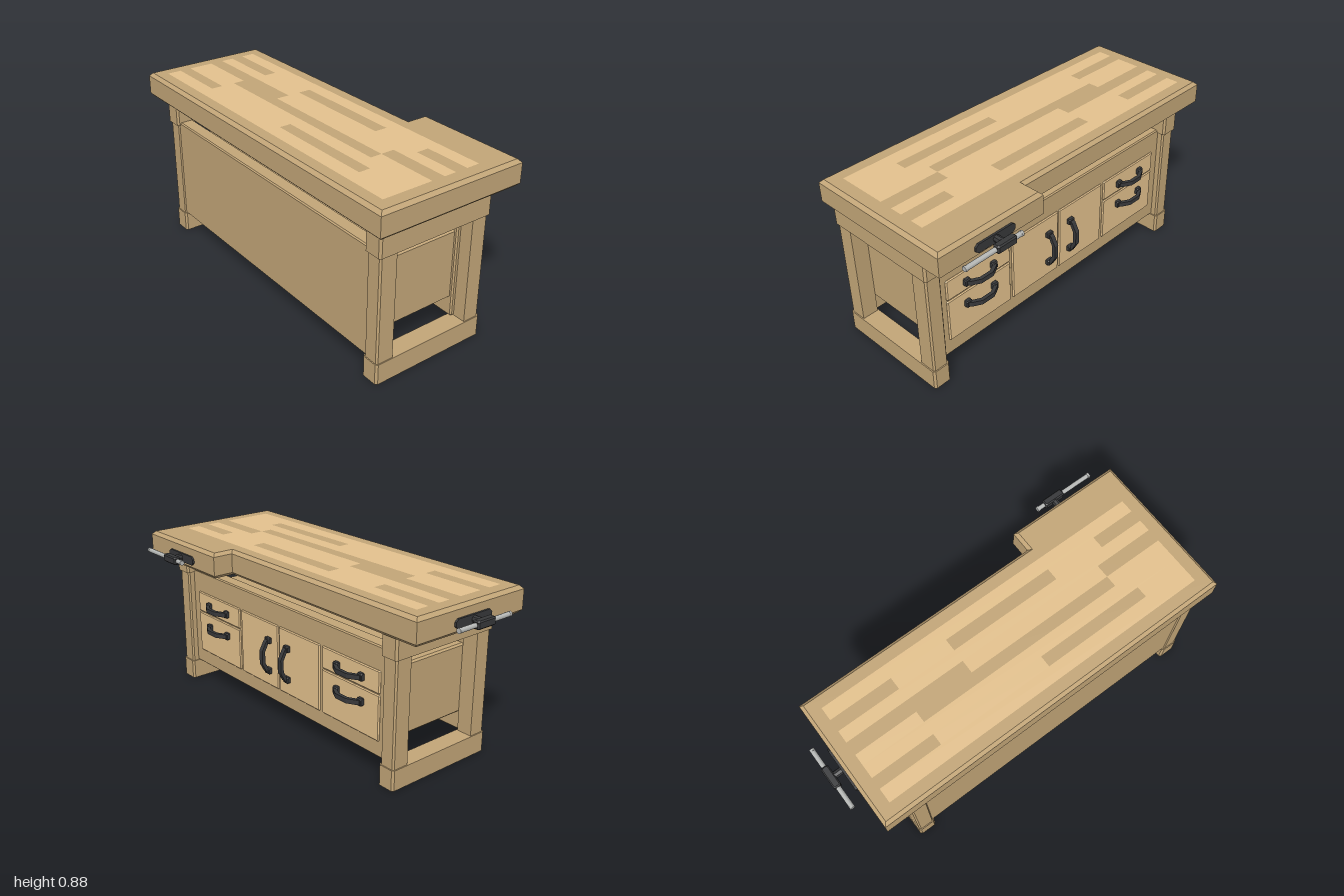
import * as THREE from 'three';

const mat = (color) => new THREE.MeshStandardMaterial({ color });
const wood = mat(0xc3a678), lightWood = mat(0xe4c28e), iron = mat(0x37383a), steel = mat(0xb8bab8);

function mesh(name, geometry, material) {
  const m = new THREE.Mesh(geometry, material);
  m.name = name;
  return m;
}

const polygon = (pts) => new THREE.Shape(pts.map(([x, y]) => new THREE.Vector2(x, y)));
const bevelled = (depth, b) => ({
  depth: depth - 2 * b, bevelEnabled: true, bevelSize: b, bevelThickness: b, bevelSegments: 1,
});

// Box between two corners, with every edge chamfered by b
function box(name, [x0, x1], [y0, y1], [z0, z1], b, material = wood) {
  const X = (x1 - x0) / 2 - b, Z = (z1 - z0) / 2 - b, c = b * 0.6;
  const outline = polygon([[-X + c, -Z], [X - c, -Z], [X, -Z + c], [X, Z - c],
    [X - c, Z], [-X + c, Z], [-X, Z - c], [-X, -Z + c]]);
  const g = new THREE.ExtrudeGeometry(outline, bevelled(y1 - y0, b));
  g.rotateX(-Math.PI / 2).translate((x0 + x1) / 2, y0 + b, (z0 + z1) / 2);
  return mesh(name, g, material);
}

// Square timber with its upright corners cut by l on the -x side and r on the +x side
function timber(name, [x0, x1], [y0, y1], Z, l, r) {
  const outline = polygon([[x0 + l, -Z], [x1 - r, -Z], [x1, -Z + r], [x1, Z - r],
    [x1 - r, Z], [x0 + l, Z], [x0, Z - l], [x0, -Z + l]]);
  const g = new THREE.ExtrudeGeometry(outline, { depth: y1 - y0, bevelEnabled: false });
  return mesh(name, g.rotateX(-Math.PI / 2).translate(0, y0, 0), wood);
}

// L-shaped top with chamfered edges and inlaid strips
function worktop() {
  const group = new THREE.Group();
  group.name = 'worktop';
  const b = 0.017;
  const outline = polygon([[-0.44 + b, -1 + b], [0.355 - b, -1 + b], [0.355 - b, -0.39 - b],
    [0.245 - b, -0.39 - b], [0.245 - b, 0.917 - b], [-0.44 + b, 0.917 - b]]);
  const g = new THREE.ExtrudeGeometry(outline, bevelled(0.133, b));
  group.add(mesh('topSlab', g.rotateX(-Math.PI / 2).translate(0, 0.746 + b, 0), wood));

  const full = [[-0.84, 0.92]];
  const columns = [
    [-0.365, -0.29, full],
    [-0.29, -0.23, [[-0.51, 0.1], [0.68, 0.92]]],
    [-0.23, -0.16, full],
    [-0.16, -0.1, [[-0.84, -0.51], [0.6, 0.92]]],
    [-0.1, -0.03, [[-0.2, 0.6]]],
    [-0.03, 0.035, full],
    [0.035, 0.1, [[-0.51, -0.2], [0.4, 0.68]]],
    [0.1, 0.17, full],
  ];
  for (const [x0, x1, spans] of columns)
    for (const [z0, z1] of spans) {
      const strip = new THREE.PlaneGeometry(x1 - x0, z1 - z0).rotateX(-Math.PI / 2);
      group.add(mesh('inlayStrip', strip.translate((x0 + x1) / 2, 0.8796, (z0 + z1) / 2), lightWood));
    }
  return group;
}

// Two legs joined by a foot beam and a head beam
function endFrame(z) {
  const group = new THREE.Group();
  group.name = 'endFrame';
  group.add(
    timber('footBeam', [-0.405, 0.215], [0, 0.105], 0.048, 0.01, 0.01),
    timber('headBeam', [-0.41, 0.22], [0.64, 0.75], 0.05, 0.01, 0.01),
    timber('leg', [-0.4, -0.311], [0.1, 0.65], 0.042, 0.008, 0),
    timber('leg', [0.12, 0.209], [0.1, 0.65], 0.042, 0, 0.008),
  );
  group.position.z = z;
  return group;
}

// Bent strap handle, long in y and standing out along +x
function handle(x, y, z, horizontal) {
  const group = new THREE.Group();
  group.name = 'handle';
  const strap = polygon([[0, -0.095], [0.02, -0.095], [0.033, -0.082], [0.058, -0.036], [0.058, 0.036],
    [0.033, 0.082], [0.02, 0.095], [0, 0.095], [0, 0.075], [0.016, 0.075], [0.04, 0.03],
    [0.04, -0.03], [0.016, -0.075], [0, -0.075]]);
  const g = new THREE.ExtrudeGeometry(strap, { depth: 0.024, bevelEnabled: false });
  group.add(mesh('strap', g.translate(0, 0, -0.012), iron));
  for (const s of [-1, 1])
    group.add(box('mount', [-0.004, 0.024], [s * 0.084 - 0.016, s * 0.084 + 0.016], [-0.019, 0.019], 0.004, iron));
  group.position.set(x, y, z);
  if (horizontal) group.rotation.x = Math.PI / 2;
  return group;
}

function cabinet() {
  const group = new THREE.Group();
  group.name = 'cabinet';
  group.add(
    box('carcass', [-0.35, 0.15], [0.2, 0.56], [-0.688, 0.878], 0.009),
    box('backPanel', [-0.394, -0.32], [0.105, 0.655], [-0.71, 0.895], 0.006),
    box('frontPanel', [0.1, 0.174], [0.105, 0.655], [-0.71, 0.895], 0.006),
  );

  // Drawers in the outer columns
  const face = [0.15, 0.181];
  for (const [z0, z1] of [[0.434, 0.83], [-0.646, -0.244]]) {
    group.add(box('lowerDrawer', face, [0.187, 0.419], [z0, z1], 0.005, lightWood));
    group.add(box('upperDrawer', face, [0.424, 0.538], [z0, z1], 0.005, lightWood));
    for (const y of [0.352, 0.477]) group.add(handle(0.178, y, (z0 + z1) / 2, true));
  }
  // Two doors with their compartments behind
  for (const [z0, z1, hz] of [[0.099, 0.42, 0.172], [-0.228, 0.093, 0.018]]) {
    group.add(box('door', face, [0.187, 0.538], [z0, z1], 0.005, lightWood));
    group.add(box('compartment', [-0.18, 0.14], [0.195, 0.53], [z0 + 0.01, z1 - 0.01], 0.006, lightWood));
    group.add(handle(0.178, 0.358, hz, false));
  }
  return group;
}

// Clamp with plate, screw, grip and sliding bar, pointing along +x
function vise(slide) {
  const group = new THREE.Group();
  group.name = 'vise';
  const plate = polygon([[-0.115, -0.01], [-0.1, -0.023], [0.1, -0.023], [0.115, -0.01],
    [0.115, 0.01], [0.1, 0.023], [-0.1, 0.023], [-0.115, 0.01]]);
  const plateGeometry = new THREE.ExtrudeGeometry(plate, { depth: 0.012, bevelEnabled: false });
  group.add(mesh('plate', plateGeometry.rotateY(Math.PI / 2).translate(-0.002, 0, 0), iron));
  const screw = new THREE.CylinderGeometry(0.018, 0.018, 0.06, 8).toNonIndexed();
  screw.computeVertexNormals();
  group.add(mesh('screw', screw.rotateZ(Math.PI / 2).translate(0.035, 0, 0), iron));
  group.add(box('grip', [0.045, 0.083], [-0.02, 0.02], [-0.057, 0.057], 0.006, iron));
  const bar = new THREE.CylinderGeometry(0.012, 0.012, 0.32, 8);
  group.add(mesh('slidingBar', bar.rotateX(Math.PI / 2).translate(0.064, 0, slide), steel));
  for (const s of [-1, 1]) {
    const cap = new THREE.CylinderGeometry(0.014, 0.014, 0.012, 6);
    group.add(mesh('barCap', cap.rotateX(Math.PI / 2).translate(0.064, 0, slide + s * 0.16), steel));
  }
  return group;
}

export function createModel() {
  const model = new THREE.Group();
  model.name = 'workbench';
  model.add(worktop(), endFrame(0.919), endFrame(-0.734), cabinet());

  const sideVise = vise(0.065);
  sideVise.position.set(0.355, 0.8, 0.69);
  const endVise = vise(-0.005);
  endVise.position.set(-0.098, 0.8, -0.917);
  endVise.rotation.y = Math.PI / 2;
  model.add(sideVise, endVise);
  return model;
}
